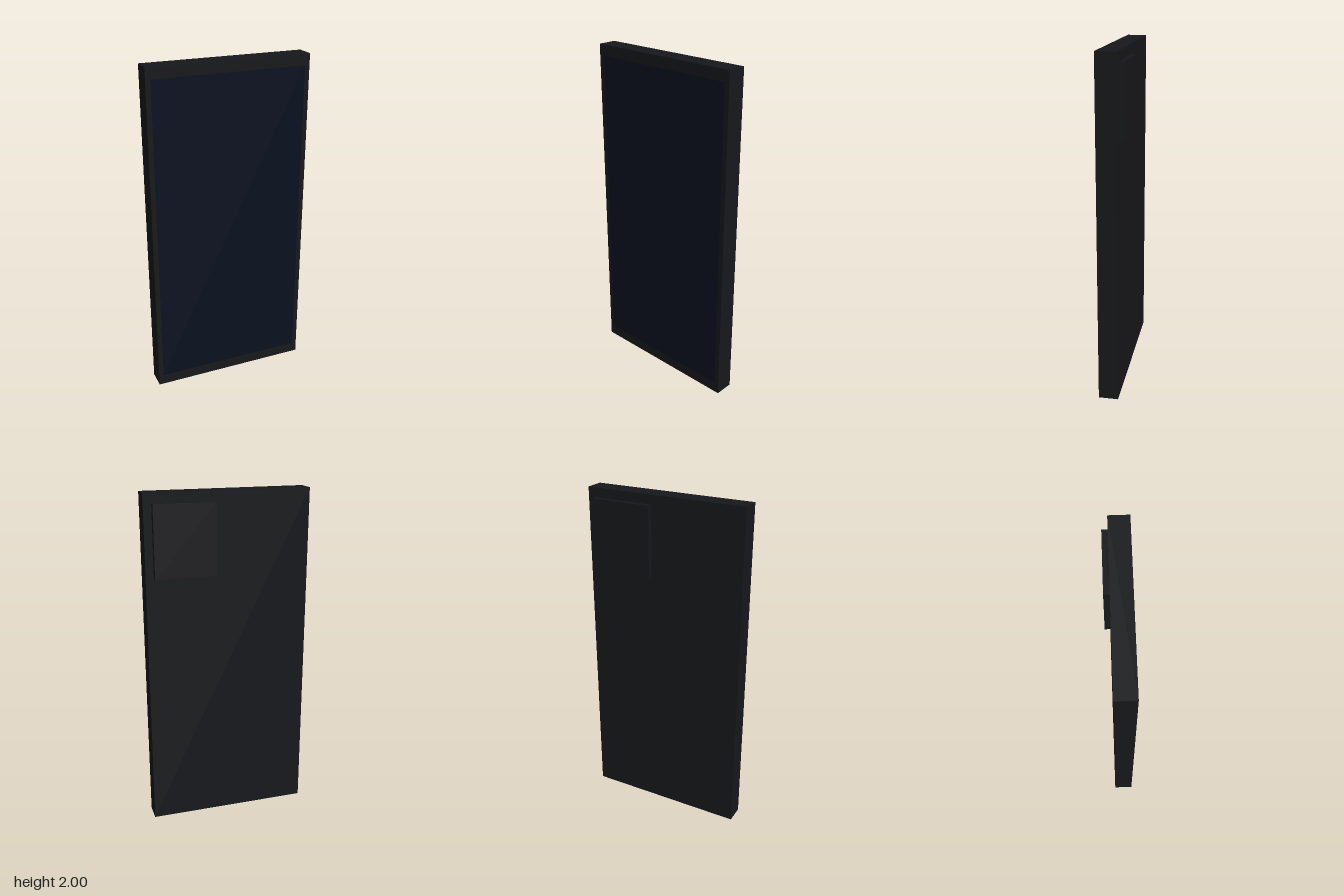
import * as THREE from 'three';

export function createModel() {
  const group = new THREE.Group();
  const dark = new THREE.MeshStandardMaterial({ color: 0x17181b });
  const glass = new THREE.MeshStandardMaterial({ color: 0x0a1020 });

  // Box given by its extents along each axis
  function block(name, [x0, x1], [y0, y1], [z0, z1], material) {
    const mesh = new THREE.Mesh(new THREE.BoxGeometry(x1 - x0, y1 - y0, z1 - z0), material);
    mesh.position.set((x0 + x1) / 2, (y0 + y1) / 2, (z0 + z1) / 2);
    mesh.name = name;
    group.add(mesh);
  }

  // Slab body
  block('body', [-0.484, 0.484], [0, 2], [-0.042, 0.073], dark);
  // Display panel, a hair proud of the front face
  block('screen', [-0.455, 0.455], [0.065, 1.935], [0.07, 0.074], glass);
  // Raised camera plate in the upper corner of the back
  block('cameraPlate', [0.077, 0.437], [1.53, 1.945], [-0.074, -0.04], dark);

  return group;
}
